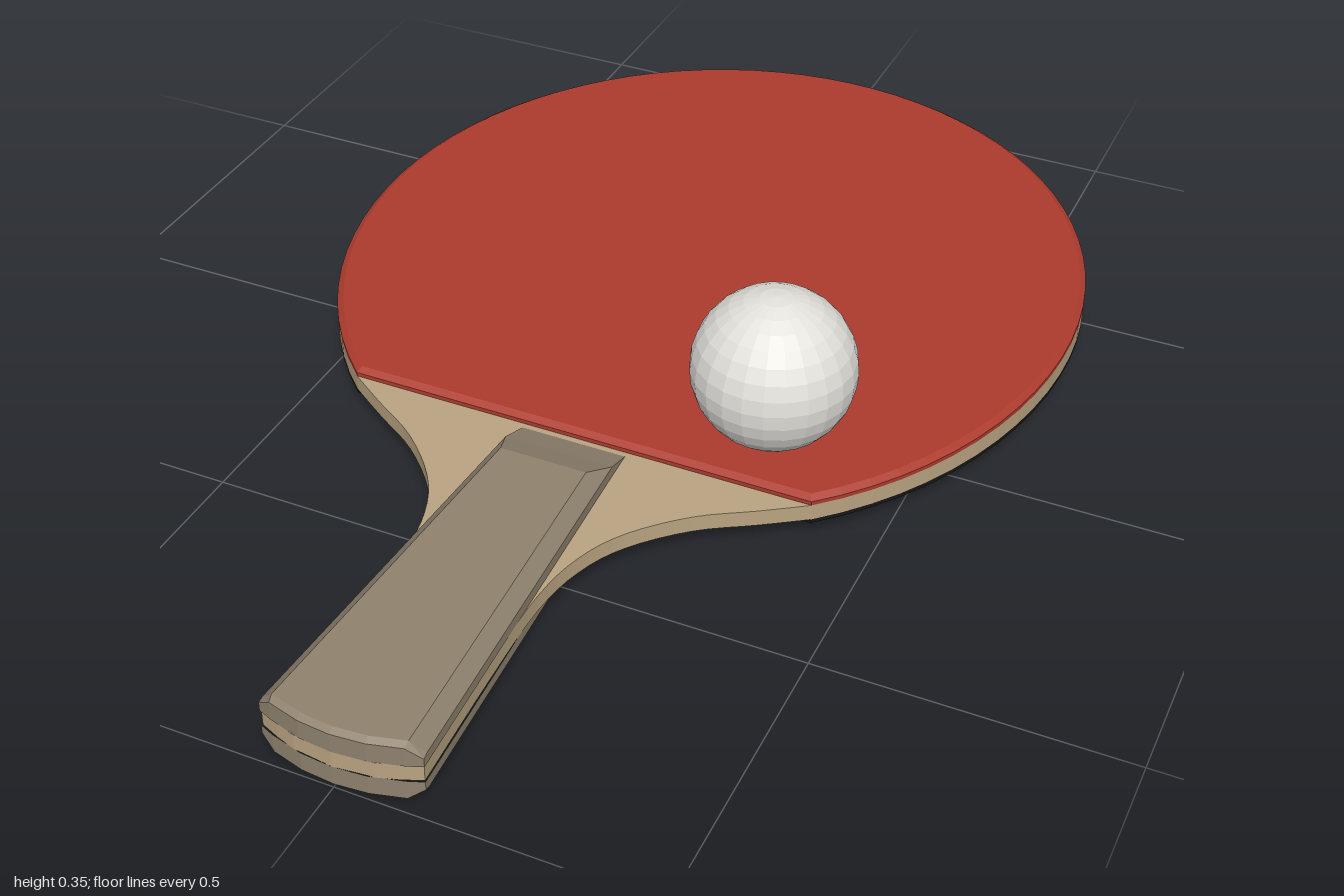
import * as THREE from 'three';

const MID = 0.055;        // height of the blade's middle plane
const BLADE_HALF = 0.014; // half thickness of the wooden blade

// Half of the rounded head outline as [x, z], from the tip to the corner by the handle
function headHalf() {
  const pts = [];
  const end = Math.acos(0.625), n = 32;
  for (let i = 0; i <= n; i++) {
    const a = -Math.PI / 2 + (end + Math.PI / 2) * i / n;
    pts.push([0.64 * Math.cos(a), -0.32 + (a < 0 ? 0.68 : 0.717) * Math.sin(a)]);
  }
  return pts;
}

// Mirrors a half outline in x and returns a closed shape
function mirroredShape(half) {
  const right = half.map(([x, z]) => new THREE.Vector2(x, -z));
  const left = half.filter(([x]) => x > 1e-4).reverse().map(([x, z]) => new THREE.Vector2(-x, -z));
  return new THREE.Shape([...right, ...left].reverse());
}

// Upper half of the grip: cross-sections lofted along z, with a slanted cut at the neck
function gripGeometry(halfHeight) {
  const sections = [ // z, shoulder height, top height, bevel width
    [0.25, BLADE_HALF, BLADE_HALF, 0],
    [0.302, 0.032, 0.032, 0],
    [0.355, 0.032, halfHeight, 0.022],
    [0.99, 0.032, halfHeight, 0.022],
    [1.0, 0.029, halfHeight - 0.006, 0.024],
  ];
  const cols = [-1, -0.5, 0, 0.5, 1];
  const rows = sections.map(([z, s, top, bevel]) => {
    const w = 0.09 + 0.038 * (z - 0.25) / 0.72;
    const t = w - bevel;
    const line = [[-w, BLADE_HALF], [-w, s], ...cols.map(c => [c * t, top]), [w, s], [w, BLADE_HALF]];
    const curve = z > 0.9 ? 0.028 : 0; // rounded butt end
    return line.map(([x, y]) => [x, y, z - curve * (x / w) ** 2]);
  });
  const pos = [];
  const quad = (a, b, c, d) => pos.push(...a, ...b, ...c, ...a, ...c, ...d);
  for (let r = 0; r < rows.length - 1; r++) {
    for (let i = 0; i < rows[r].length - 1; i++) {
      quad(rows[r][i], rows[r + 1][i], rows[r + 1][i + 1], rows[r][i + 1]);
    }
  }
  // butt end
  const last = rows[rows.length - 1];
  const base = last.map(([x, , z]) => [x, BLADE_HALF, z]);
  for (let i = 0; i < last.length - 1; i++) quad(base[i], base[i + 1], last[i + 1], last[i]);
  const geo = new THREE.BufferGeometry();
  geo.setAttribute('position', new THREE.Float32BufferAttribute(pos, 3));
  geo.computeVertexNormals();
  return geo;
}

export function createModel() {
  const group = new THREE.Group();
  const material = (name, color, flatShading = false) => {
    const m = new THREE.MeshStandardMaterial({ color, flatShading });
    m.name = name;
    return m;
  };
  const wood = material('light wood', 0xbaa482);
  const gripWood = material('grey brown wood', 0x90836f);
  const red = material('red rubber', 0xac3b2d);
  const black = material('black rubber', 0x171717);
  const white = material('ball white', 0xe4e2dc, true);

  const add = (name, geo, mat, y = MID) => {
    const mesh = new THREE.Mesh(geo, mat);
    mesh.name = name;
    mesh.position.y = y;
    group.add(mesh);
    return mesh;
  };

  // Wooden blade: head, flared neck and the core running through the grip
  const head = headHalf();
  const neck = new THREE.SplineCurve([
    [0.4, 0.24], [0.33, 0.287], [0.245, 0.342], [0.17, 0.42], [0.13, 0.5],
    [0.113, 0.6], [0.116, 0.75], [0.128, 0.97],
  ].map(p => new THREE.Vector2(...p))).getPoints(28).map(p => [p.x, p.y]);
  const outline = [...head, ...neck.slice(1), [0.096, 0.983], [0.064, 0.993], [0, 1]];
  const bladeGeo = new THREE.ExtrudeGeometry(mirroredShape(outline), { depth: 2 * BLADE_HALF, bevelEnabled: false });
  bladeGeo.translate(0, 0, -BLADE_HALF).rotateX(-Math.PI / 2);
  add('blade', bladeGeo, wood);

  // Rubber sheets with a bevelled rim, sunk slightly into the blade
  const rubberGeo = new THREE.ExtrudeGeometry(mirroredShape(head), {
    depth: 0.007, bevelThickness: 0.007, bevelSize: 0.011, bevelOffset: -0.011, bevelSegments: 1,
  });
  rubberGeo.translate(0, 0, BLADE_HALF).rotateX(-Math.PI / 2);
  add('topRubber', rubberGeo, red);
  add('bottomRubber', rubberGeo, black).rotation.z = Math.PI;

  // Grip halves above and below the blade
  const gripGeo = gripGeometry(0.053);
  add('topGrip', gripGeo, gripWood);
  add('bottomGrip', gripGeo, gripWood).rotation.z = Math.PI;

  // Ball resting on the top rubber
  const ball = add('ball', new THREE.SphereGeometry(0.132, 24, 16), white, 0.217);
  ball.position.x = 0.285;
  ball.position.z = 0.12;

  return group;
}
